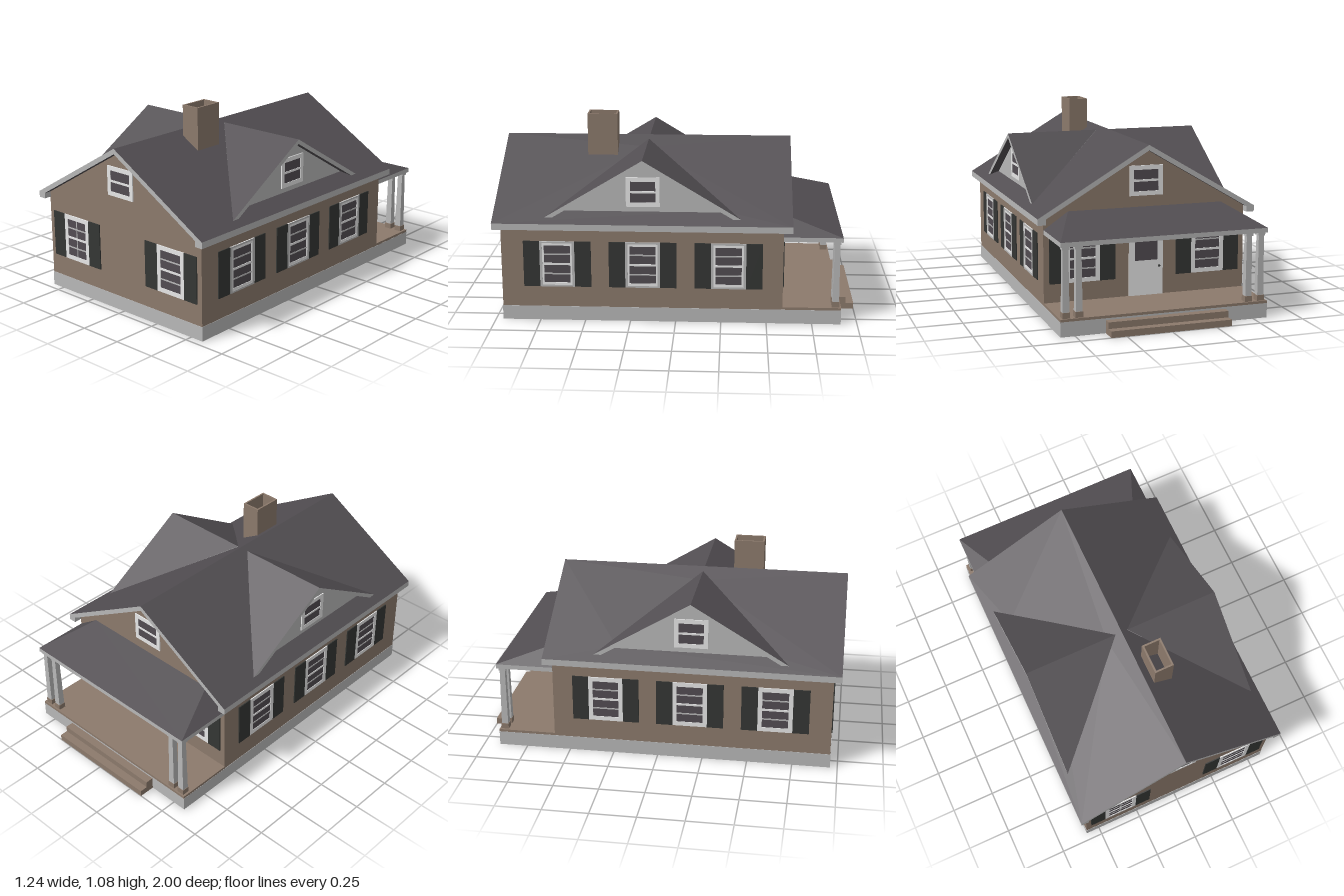
import * as THREE from 'three';

const mat = (name, color, side = THREE.FrontSide) => {
  const m = new THREE.MeshStandardMaterial({ color, side });
  m.name = name;
  return m;
};

export function createModel() {
  const house = new THREE.Group();
  house.name = 'house';
  const brown = mat('brown siding', 0x8c7a6c);
  const roofing = mat('dark shingles', 0x524e52, THREE.DoubleSide);
  const trim = mat('light grey trim', 0xb8b8b8);
  const white = mat('white paint', 0xffffff);
  const shutterMat = mat('shutter black', 0x343634);
  const glass = mat('dark glass', 0x524c52);
  const ceilingMat = mat('porch ceiling grey', 0x6a706c);

  const add = (name, geometry, material, parent = house) => {
    const mesh = new THREE.Mesh(geometry, material);
    mesh.name = name;
    parent.add(mesh);
    return mesh;
  };
  // box given by its minimum and maximum corners
  const box = (name, x0, x1, y0, y1, z0, z1, material, parent) => {
    const mesh = add(name, new THREE.BoxGeometry(x1 - x0, y1 - y0, z1 - z0), material, parent);
    mesh.position.set((x0 + x1) / 2, (y0 + y1) / 2, (z0 + z1) / 2);
    return mesh;
  };
  const poly = (points) => new THREE.Shape(points.map(([x, y]) => new THREE.Vector2(x, y)));
  const rect = (x0, x1, y0, y1) => poly([[x0, y0], [x1, y0], [x1, y1], [x0, y1]]);
  const extrude = (shape, depth) => new THREE.ExtrudeGeometry(shape, { depth, bevelEnabled: false });
  // slab drawn in plan (x, z), whose height follows a rule
  const slab = (plan, thickness, height, hole) => {
    const flip = ([x, z]) => [x, -z];
    const shape = poly(plan.map(flip));
    if (hole) shape.holes.push(poly(hole.map(flip)));
    const g = extrude(shape, thickness).rotateX(-Math.PI / 2);
    const p = g.attributes.position;
    for (let i = 0; i < p.count; i++) {
      p.setY(i, p.getY(i) - thickness + height(p.getX(i), p.getZ(i)));
    }
    g.computeVertexNormals();
    return g;
  };

  // main walls and foundation
  const W = 0.578, FRONT = 0.958, BACK = -0.588, PITCH = 0.589;
  const gableWall = poly([[-W, 0.002], [W, 0.002], [W, 0.56], [0, 0.9], [-W, 0.56]]);
  add('frontWall', extrude(gableWall, 0.01), brown).position.z = FRONT - 0.01;
  add('backWall', extrude(gableWall, 0.01), brown).position.z = BACK;
  box('frontFoundation', -0.58, 0.58, 0, 0.08, 0.952, 0.96, trim);
  for (const s of [-1, 1]) {
    const a = s * W, b = s * (W - 0.01);
    box('sideWall', Math.min(a, b), Math.max(a, b), 0.002, 0.56, BACK, FRONT, brown);
    const c = s * 0.58, d = s * 0.572;
    box('sideFoundation', Math.min(c, d), Math.max(c, d), 0, 0.08, -0.91, 0.96, trim);
  }

  // windows face +z locally; the wall surface is at z = 0
  function makeWindow(w, h, { rows = 2, shutters = false, border = false, mullion = false } = {}) {
    const g = new THREE.Group();
    g.name = 'window';
    const px = w / 2 - 0.024, py = h / 2 - 0.024;
    const frame = rect(-w / 2, w / 2, -h / 2, h / 2);
    frame.holes.push(rect(-px, px, 0.006, py), rect(-px, px, -py, -0.006));
    add('windowFrame', extrude(frame, 0.022), white, g).position.z = -0.016;
    box('windowPane', -px, px, -py, py, -0.013, 0.003, glass, g);
    if (rows === 4) {
      for (const s of [-1, 1]) {
        const y = s * (py + 0.006) / 2;
        box('glazingBar', -px, px, y - 0.004, y + 0.004, -0.015, 0.005, trim, g);
      }
    }
    if (mullion) box('mullion', -0.003, 0.003, -py, py, 0, 0.005, trim, g);
    if (border) {
      const ring = rect(-w / 2, w / 2, -h / 2, h / 2);
      ring.holes.push(rect(-w / 2 + 0.014, w / 2 - 0.014, -h / 2 + 0.01, h / 2 - 0.01));
      add('windowCasing', extrude(ring, 0.008), trim, g);
    }
    if (shutters) {
      for (const s of [-1, 1]) {
        const x = s * (w / 2 + 0.045);
        box('shutter', x - 0.045, x + 0.045, -h / 2, h / 2, 0, 0.006, shutterMat, g);
      }
    }
    house.add(g);
    return g;
  }
  const place = (g, x, y, z, turn) => {
    g.position.set(x, y, z);
    g.rotation.y = turn;
  };
  for (const s of [-1, 1]) {
    const tall = { rows: 4, shutters: true };
    place(makeWindow(0.192, 0.26, { ...tall, mullion: s < 0 }), s * 0.361, 0.327, FRONT, 0);
    place(makeWindow(0.192, 0.26, tall), s * 0.361, 0.327, BACK, Math.PI);
    for (const z of [0.65, 0.18, -0.29]) {
      place(makeWindow(0.192, 0.26, { ...tall, border: s > 0 }), s * W, 0.327, z, s * Math.PI / 2);
    }
    place(makeWindow(0.19, 0.165), 0, 0.732, s > 0 ? FRONT : BACK, s > 0 ? 0 : Math.PI);
  }

  // main roof and the two side dormers
  const DZ = 0.18;
  for (const s of [-1, 1]) {
    add('mainRoof', slab(
      [[0, -0.635], [s * 0.62, -0.635], [s * 0.62, 1], [0, 1]], 0.03,
      (x) => 0.93 - PITCH * Math.abs(x),
      [[s * 0.09, DZ], [s * 0.515, DZ - 0.42], [s * 0.515, DZ + 0.42]],
    ), [roofing, trim]);
    const a = s * 0.575, b = s * 0.62;
    box('eaveBoard', Math.min(a, b), Math.max(a, b), 0.53, 0.563, -0.635, 1, trim);

    for (const t of [-1, 1]) {
      add('dormerRoof', slab(
        [[s * 0.036, DZ], [s * 0.575, DZ], [s * 0.575, DZ + t * 0.54]], 0.026,
        (x, z) => 0.912 - 0.6 * Math.abs(z - DZ),
      ), [roofing, trim]);
    }
    const gable = add('dormerGable',
      extrude(poly([[-0.48, 0.6], [0.48, 0.6], [0, 0.888]]), 0.01), trim);
    gable.rotation.y = s * Math.PI / 2;
    gable.position.set(s * 0.52, 0, DZ);
    place(makeWindow(0.185, 0.165), s * 0.53, 0.728, DZ, s * Math.PI / 2);
  }

  // hollow chimney
  const flue = rect(0.04, 0.15, -0.52, -0.35);
  flue.holes.push(rect(0.05, 0.14, -0.51, -0.36));
  add('chimney', extrude(flue, 0.255).rotateX(-Math.PI / 2), brown).position.y = 0.825;

  // porch base, steps and ceiling
  box('porchFoundation', -0.572, 0.572, 0, 0.08, -0.91, -0.9, trim);
  box('porchFloor', -0.579, 0.579, 0.08, 0.094, -0.91, BACK, brown);
  box('lowerStep', -0.335, 0.335, 0, 0.035, -1, -0.91, brown);
  box('upperStep', -0.335, 0.335, 0.035, 0.07, -0.955, -0.91, brown);
  box('porchCeiling', -0.575, 0.575, 0.47, 0.495, -0.91, BACK,
    [trim, trim, trim, ceilingMat, trim, trim]);

  // hipped porch roof
  const A = [-0.575, 0.495, -0.91], B = [0.575, 0.495, -0.91];
  const C = [0.44, 0.588, -0.588], D = [-0.44, 0.588, -0.588];
  const E = [0.575, 0.495, -0.588], F = [-0.575, 0.495, -0.588];
  const hip = new THREE.BufferGeometry();
  hip.setAttribute('position', new THREE.Float32BufferAttribute(
    [A, D, C, A, C, B, B, C, E, A, F, D].flat(), 3));
  hip.computeVertexNormals();
  add('porchRoof', hip, roofing);

  // paired tapered square columns
  for (const x of [-0.545, -0.475, 0.475, 0.545]) {
    const column = new THREE.Group();
    column.name = 'porchColumn';
    column.position.set(x, 0, -0.88);
    house.add(column);
    box('columnBase', -0.021, 0.021, 0.094, 0.125, -0.021, 0.021, brown, column);
    const shaft = new THREE.CylinderGeometry(0.021, 0.026, 0.33, 4).toNonIndexed();
    shaft.rotateY(Math.PI / 4).computeVertexNormals();
    add('columnShaft', shaft, trim, column).position.y = 0.29;
    box('columnCap', -0.02, 0.02, 0.453, 0.47, -0.02, 0.02, trim, column);
  }

  // back door
  box('door', -0.098, 0.098, 0.094, 0.44, BACK - 0.006, BACK + 0.014, white);
  box('doorPane', -0.065, 0.065, 0.29, 0.41, BACK - 0.009, BACK + 0.017, glass);
  const knob = add('doorKnob', new THREE.SphereGeometry(0.007, 10, 8), shutterMat);
  knob.position.set(-0.075, 0.255, BACK - 0.01);

  return house;
}
